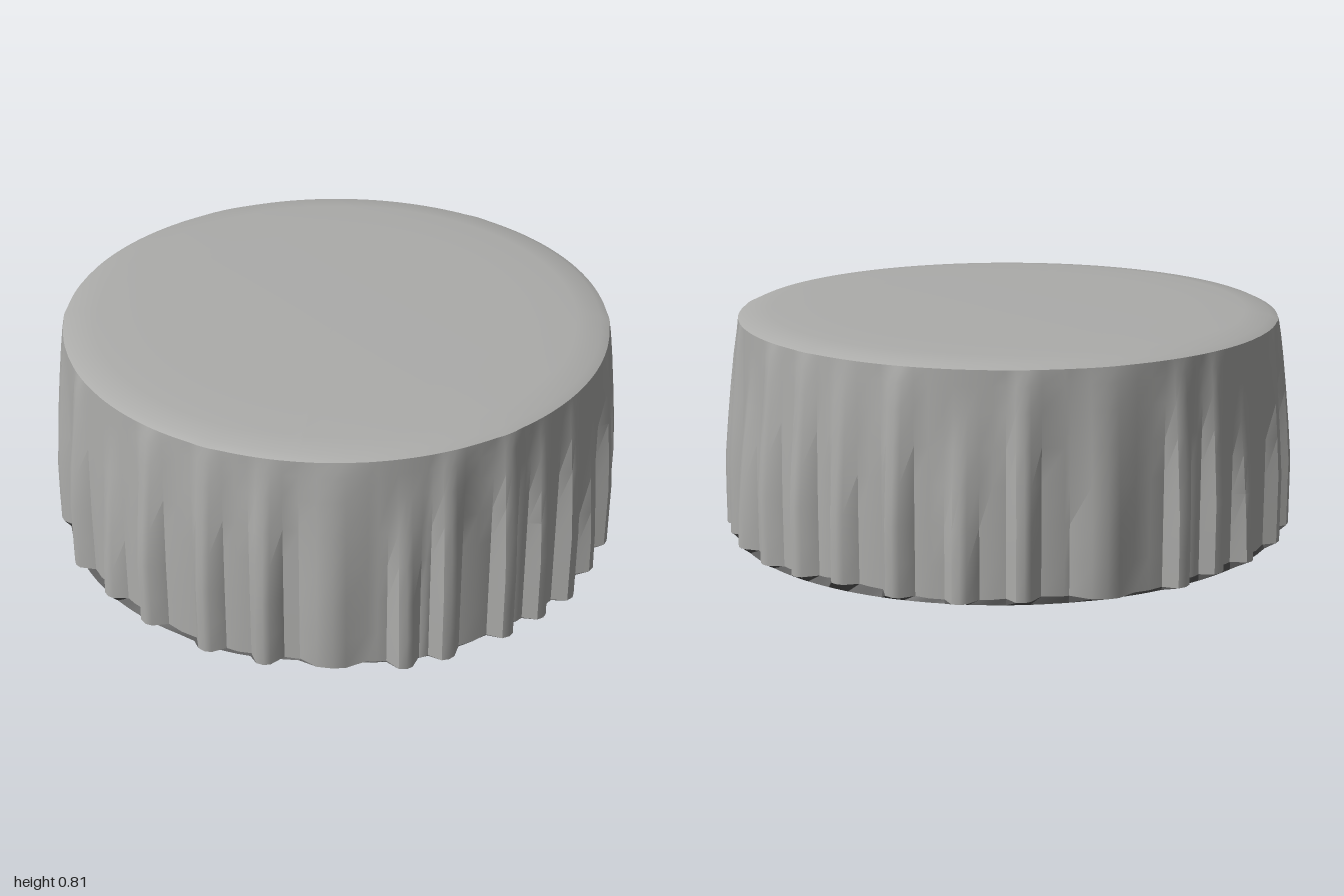
import * as THREE from 'three';
import { toCreasedNormals } from 'three/addons/utils/BufferGeometryUtils.js';

// Fold directions around the skirt, in degrees from the front towards +x
const FOLDS = [2, 11.5, 21, 31.5, 40.5, 54.7, 70, 80, 90, 101, 112, 122, 134, 146.6, 158.4, 174,
  190.5, 200, 210, 226, 236.5, 246.7, 262.5, 275.8, 287.5, 301, 313, 326, 340, 348.7];
const WIDE = [174, 326];

// Each fold is a rounded ridge: foot, shoulder, crest, shoulder, foot, then the valley behind it
function buildColumns() {
  const columns = [];
  FOLDS.forEach((deg, i) => {
    const w = WIDE.includes(deg) ? 5 : 2.5;
    const next = i + 1 < FOLDS.length ? FOLDS[i + 1] : FOLDS[0] + 360;
    const start = [0.8, 0.76, 0.79, 0.6, 0.79][i % 5]; // height where the fold begins
    const size = [1, 0.9, 1, 0.85][i % 4];
    const add = (d, lift) => columns.push({ a: THREE.MathUtils.degToRad(d), lift: lift * size, start });
    add(deg - w * 1.35, 0);
    add(deg - w * 0.6, 0.9);
    add(deg, 1);
    add(deg + w * 0.5, 0.85);
    add(deg + w * 1.35, 0);
    add((deg + w * 1.35 + next - 2.5 * 1.35) / 2, 0.08);
  });
  return columns;
}

// Wavy hem: lowest at the front, lifted at the sides and back
const hemY = (a) => 0.03 - 0.019 * Math.cos(a) + 0.018 * Math.sin(a) ** 2 - 0.008 * Math.cos(9 * (a + 0.3));

function skirtPoint(c, t) {
  const low = hemY(c.a);
  const y = low + (0.79 - low) * t;
  const flare = 0.012 * Math.sin(c.a) ** 2 * Math.min(1, (1 - t) * 1.6);
  const fold = 0.052 * c.lift * Math.min(1, Math.max(0, (c.start - y) / 0.5)) ** 0.7;
  return [0.943 + flare + fold, y];
}

// Joins rings of [radius, height] rows, listed from the lower one upwards
function loft(columns, rows, crease) {
  const n = columns.length;
  const positions = [];
  const point = (row, i) => {
    const c = columns[i % n];
    const [r, y] = row(c);
    return [r * Math.sin(c.a), y, r * Math.cos(c.a)];
  };
  for (let j = 0; j + 1 < rows.length; j++) {
    for (let i = 0; i < n; i++) {
      const p = point(rows[j], i), q = point(rows[j], i + 1);
      const s = point(rows[j + 1], i + 1), t = point(rows[j + 1], i);
      if (rows[j](columns[0])[0] > 0) positions.push(...p, ...q, ...s);
      if (rows[j + 1](columns[0])[0] > 0) positions.push(...p, ...s, ...t);
    }
  }
  const geometry = new THREE.BufferGeometry();
  geometry.setAttribute('position', new THREE.Float32BufferAttribute(positions, 3));
  return toCreasedNormals(geometry, crease);
}

export function createModel() {
  const group = new THREE.Group();
  group.name = 'drapedRoundTable';
  const cloth = new THREE.MeshStandardMaterial({ color: 0xacacaa });
  cloth.name = 'greyCloth';
  const dark = new THREE.MeshStandardMaterial({ color: 0x5a5a5a });
  dark.name = 'darkBase';
  const columns = buildColumns();
  const add = (name, material, rows, crease) => {
    const mesh = new THREE.Mesh(loft(columns, rows, crease), material);
    mesh.name = name;
    group.add(mesh);
  };

  // Pleated side of the cloth
  const levels = [0, 0.15, 0.32, 0.5, 0.66, 0.82, 0.93, 1];
  add('pleatedSkirt', cloth, levels.map((t) => (c) => skirtPoint(c, t)), 0.7);

  // Flat top with a softly sloping edge
  add('tableTop', cloth, [
    (c) => skirtPoint(c, 1),
    () => [0.915, 0.803],
    () => [0.83, 0.813],
    () => [0.6, 0.816],
    () => [0, 0.816],
  ], 0.6);

  // Closed base with a smooth lip that shows between the folds at the sides
  add('base', dark, [
    () => [0, 0.03],
    () => [0.6, 0.03],
    (c) => [0.942 + 0.033 * Math.sin(c.a) ** 2, Math.min(0.032, hemY(c.a) - 0.003)],
    (c) => skirtPoint(c, 0),
  ], 0.5);

  return group;
}
